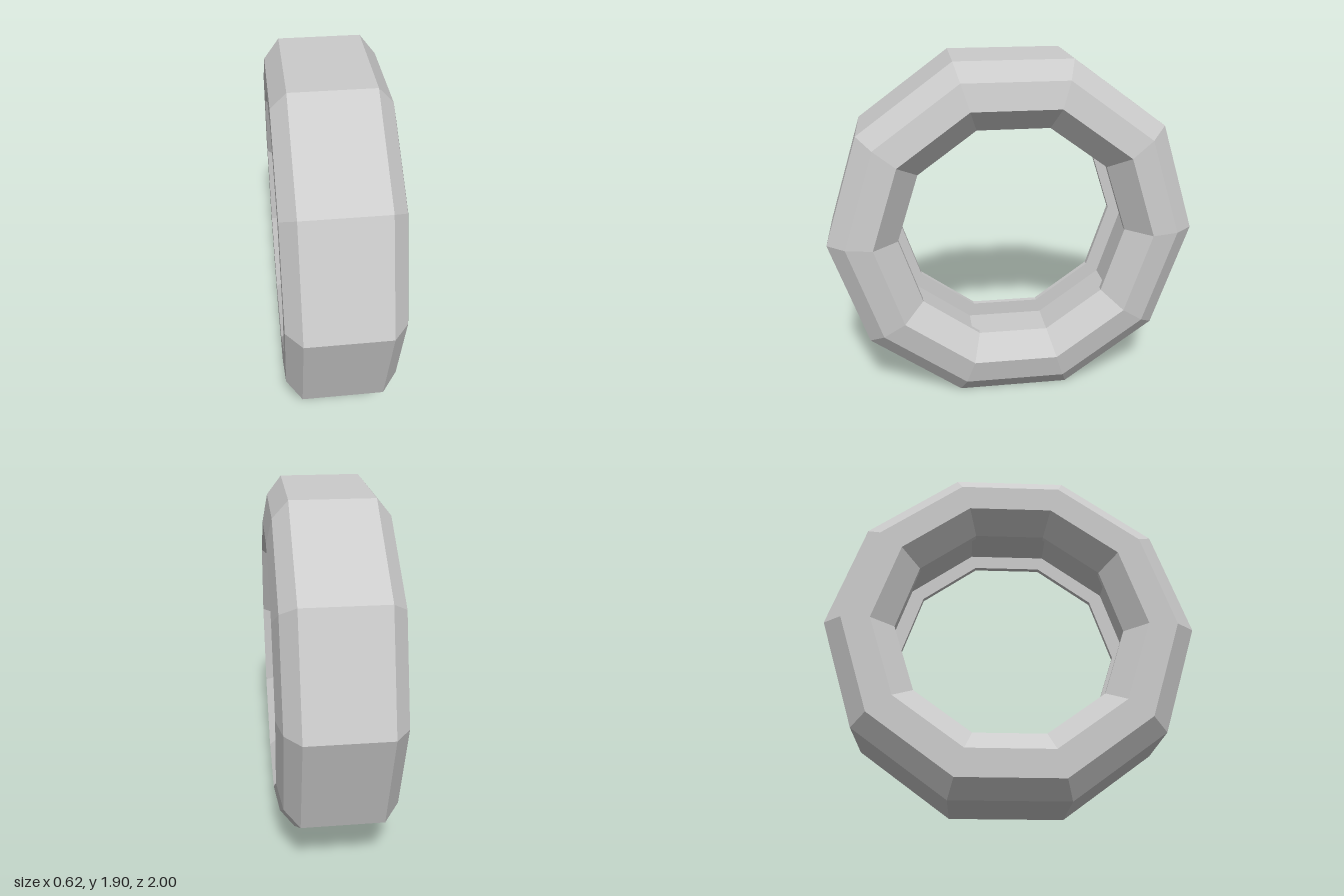
import * as THREE from 'three';

const SIDES = 10;

export function createModel() {
  const group = new THREE.Group();
  group.name = 'tyre';

  // Closed cross-section as [radius, position along the axle]
  const profile = [
    [0.9, -0.31], [1, -0.23],               // right shoulder
    [1, 0.2], [0.9, 0.28],                  // tread and left shoulder
    [0.755, 0.31], [0.625, 0.19],           // left sidewall and bead bevel
    [0.625, 0.16], [0.71, 0.16],            // left bead lip
    [0.71, -0.17], [0.625, -0.17],          // inner channel
    [0.625, -0.2], [0.745, -0.31],          // right bead lip and bevel
    [0.9, -0.31],                           // right sidewall
  ].map(([r, x]) => new THREE.Vector2(r, x));

  // Ten-sided ring, turned so the axle runs along x
  const geometry = new THREE.LatheGeometry(profile, SIDES);
  geometry.rotateZ(-Math.PI / 2);
  geometry.translate(0, Math.cos(Math.PI / SIDES), 0);

  const material = new THREE.MeshStandardMaterial({ color: 0xcccccc, flatShading: true });
  const ring = new THREE.Mesh(geometry, material);
  ring.name = 'tyreRing';
  group.add(ring);
  return group;
}
